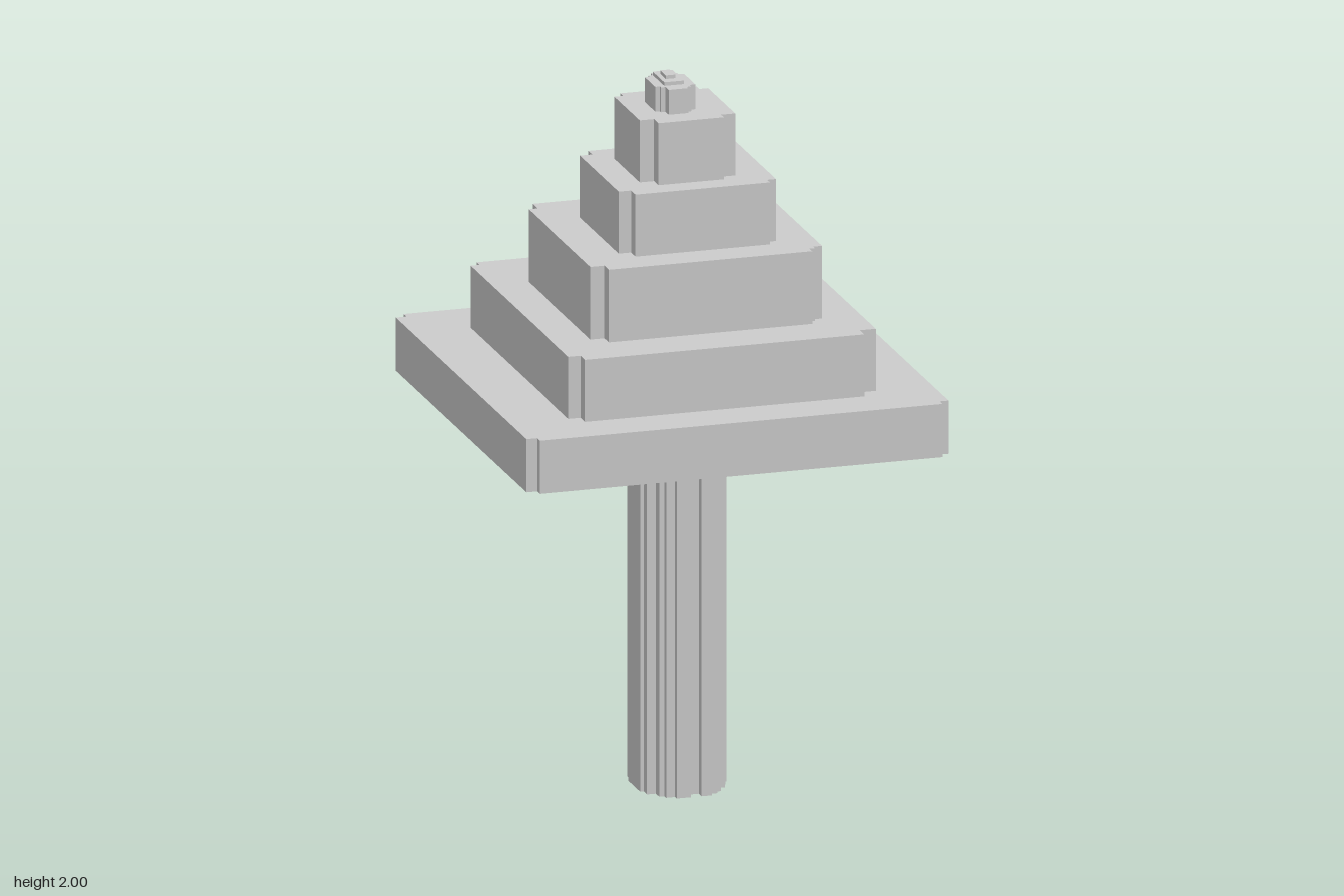
import * as THREE from 'three';

const material = new THREE.MeshStandardMaterial({ color: 0xcccccc, flatShading: true });

// Rectangle [x0, x1, z0, z1] with stepped corners. Each corner lists its inner
// step points, walking back-left, back-right, front-right, front-left.
// frontGroove = [xLeft, xRight, depth] cuts a slot into the front edge.
function steppedOutline([x0, x1, z0, z1], corners, frontGroove) {
  const pts = [];
  const lastOf = (list) => list[list.length - 1];
  corners.forEach((steps, c) => {
    steps.forEach((p, i) => {
      pts.push(p);
      const q = steps[i + 1];
      if (q) pts.push(c % 2 ? [q[0], p[1]] : [p[0], q[1]]);
    });
    const a = lastOf(steps), b = corners[(c + 1) % 4][0];
    if (c === 0) pts.push([a[0], z0], [b[0], z0]);
    if (c === 1) pts.push([x1, a[1]], [x1, b[1]]);
    if (c === 2) {
      pts.push([a[0], z1]);
      if (frontGroove) {
        const [l, r, d] = frontGroove;
        pts.push([r, z1], [r, z1 - d], [l, z1 - d], [l, z1]);
      }
      pts.push([b[0], z1]);
    }
    if (c === 3) pts.push([x0, a[1]], [x0, b[1]]);
  });
  return new THREE.Shape(pts.map(([x, z]) => new THREE.Vector2(x, -z)));
}

// Vertical prism from a plan outline
function slab(name, shape, y0, y1) {
  const geometry = new THREE.ExtrudeGeometry(shape, { depth: y1 - y0, bevelEnabled: false });
  geometry.rotateX(-Math.PI / 2).translate(0, y0, 0);
  const mesh = new THREE.Mesh(geometry, material);
  mesh.name = name;
  return mesh;
}

function block(name, x0, x1, y0, y1, z0, z1) {
  const mesh = new THREE.Mesh(new THREE.BoxGeometry(x1 - x0, y1 - y0, z1 - z0), material);
  mesh.position.set((x0 + x1) / 2, (y0 + y1) / 2, (z0 + z1) / 2);
  mesh.name = name;
  return mesh;
}

export function createModel() {
  const tree = new THREE.Group();
  tree.name = 'tree';

  // Trunk: stepped round column with grooves that stop just under the foliage
  const trunk = new THREE.Group();
  trunk.name = 'trunk';
  const trunkRect = [-0.125, 0.125, -0.115, 0.19];
  const backLeft = [[-0.115, -0.005], [-0.105, -0.05], [-0.075, -0.08], [-0.045, -0.105]];
  const backRight = [[0.04, -0.105], [0.07, -0.08], [0.105, -0.05], [0.115, -0.005]];
  const backRightGrooved = [[0.04, -0.105], [0.06, -0.08], [0.085, -0.05], [0.115, -0.005]];
  const frontRight = [[0.115, 0.08], [0.105, 0.105], [0.085, 0.13], [0.07, 0.16], [0.05, 0.175]];
  const frontLeft = [[-0.05, 0.175], [-0.075, 0.16], [-0.09, 0.13], [-0.115, 0.1]];
  trunk.add(
    slab('trunkColumn', steppedOutline(trunkRect,
      [backLeft, backRightGrooved, frontRight, frontLeft], [-0.01, 0.02, 0.025]), 0, 1.01),
    slab('trunkCollar', steppedOutline(trunkRect,
      [backLeft, backRight, frontRight, frontLeft]), 1.01, 1.03),
  );
  tree.add(trunk);

  // Lowest foliage tier, with a small pit in its top near the back corner
  const base = new THREE.Group();
  base.name = 'foliageBase';
  const baseOutline = () => steppedOutline([-0.6, 0.595, -0.62, 0.61],
    [[[-0.57, -0.595]], [[0.57, -0.595]], [[0.57, 0.585]], [[-0.57, 0.585]]]);
  const pitted = baseOutline();
  pitted.holes.push(new THREE.Path([[0.39, 0.43], [0.435, 0.43], [0.435, 0.49], [0.39, 0.49]]
    .map(([x, y]) => new THREE.Vector2(x, y))));
  base.add(slab('baseLower', baseOutline(), 1.03, 1.14), slab('baseUpper', pitted, 1.14, 1.18));
  tree.add(base);

  // Remaining foliage tiers: bottom, top, plan rectangle, corner steps
  const tiers = [
    [1.18, 1.355, [-0.435, 0.435, -0.47, 0.48],
      [[[-0.41, -0.445]], [[0.39, -0.43]], [[0.39, 0.44]], [[-0.4, 0.44]]]],
    [1.355, 1.56, [-0.33, 0.325, -0.3, 0.345],
      [[[-0.305, -0.255]], [[0.3, -0.27]], [[0.3, 0.305], [0.285, 0.32]], [[-0.29, 0.305]]]],
    [1.56, 1.735, [-0.22, 0.22, -0.175, 0.25],
      [[[-0.185, -0.14]], [[0.19, -0.15]], [[0.195, 0.225]], [[-0.185, 0.21]]]],
    [1.735, 1.91, [-0.14, 0.125, -0.11, 0.185],
      [[[-0.115, -0.085]], [[0.1, -0.085]], [[0.085, 0.16]], [[-0.1, 0.145]]]],
    [1.91, 1.98, [-0.076, 0.034, -0.045, 0.118],
      [[[-0.063, -0.013], [-0.05, -0.026]], [[0.005, -0.026], [0.018, -0.013]],
        [[0.018, 0.09], [0.005, 0.105]], [[-0.05, 0.09], [-0.063, 0.08]]]],
  ];
  tiers.forEach(([y0, y1, rect, corners], i) =>
    tree.add(slab(`foliageTier${i + 1}`, steppedOutline(rect, corners), y0, y1)));

  // Stepped tip
  tree.add(
    block('tipLower', -0.05, 0.005, 1.98, 1.99, -0.026, 0.078),
    block('tipUpper', -0.037, -0.01, 1.99, 2, 0, 0.05),
  );
  return tree;
}
